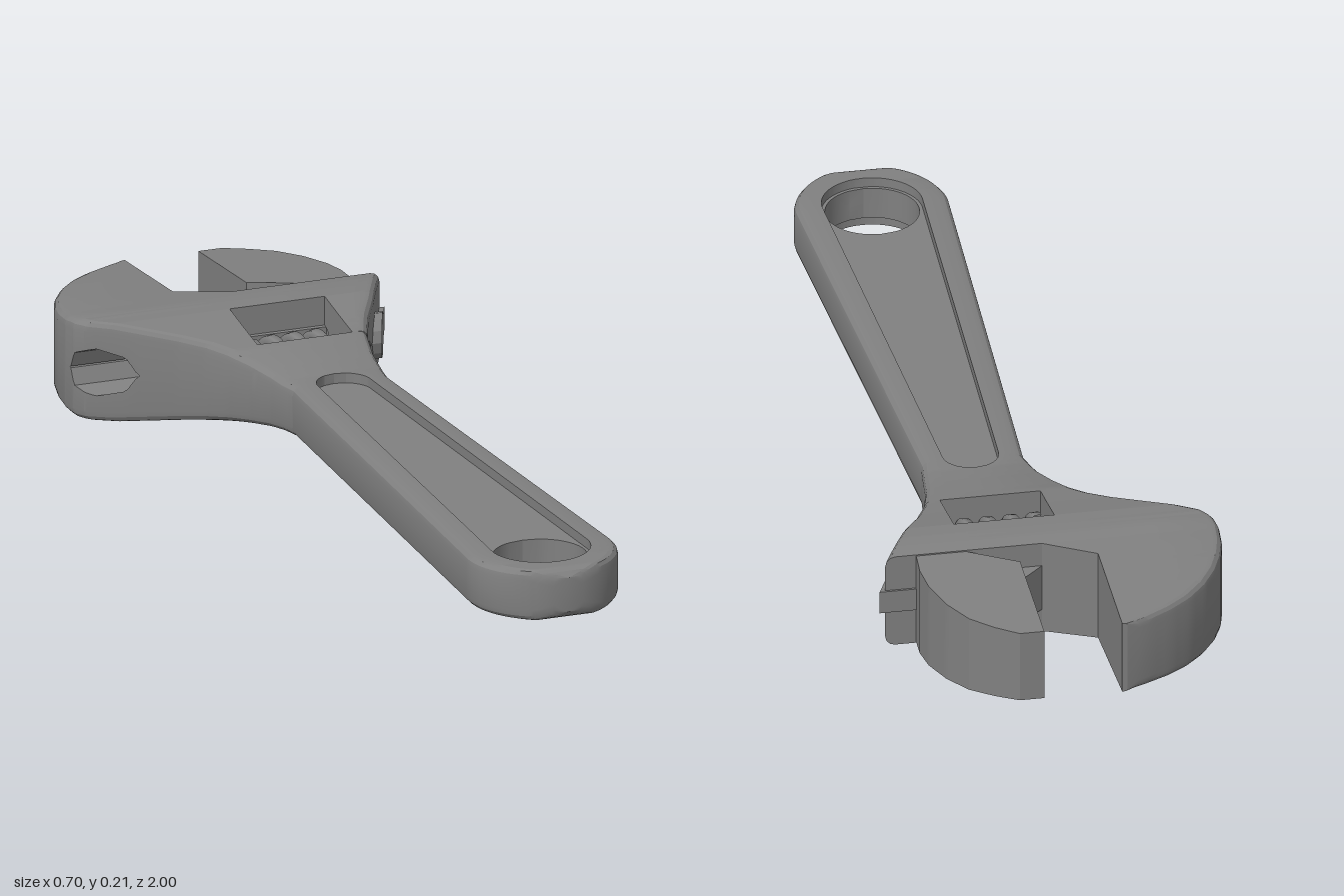
import * as THREE from 'three';
import { toCreasedNormals } from 'three/addons/utils/BufferGeometryUtils.js';

const CY = 0.1055;            // mid-plane height
const CX = 0.072;             // handle axis
const EYE = 0.843;            // centre of the hanging hole
const END_R = 0.157, HOLE_R = 0.095, PANEL_R = 0.102;
const BORE_Z = -0.597, BORE_R = 0.05, WORM_Z = -0.503;
const mat = new THREE.MeshStandardMaterial({ color: 0x808080 });

// Piecewise-linear profile over z
const table = (pts) => (z) => {
  let i = 1;
  while (i < pts.length - 1 && z > pts[i][0]) i++;
  const [z0, v0] = pts[i - 1], [z1, v1] = pts[i];
  return v0 + (v1 - v0) * THREE.MathUtils.clamp((z - z0) / (z1 - z0), 0, 1);
};
const circle = (r, d) => Math.sqrt(Math.max(0, r * r - d * d));

const halfThick = table([[-1, 0.078], [-0.69, 0.1], [-0.65, 0.1045], [-0.62, 0.1055], [-0.58, 0.104],
  [-0.5, 0.089], [-0.4, 0.072], [-0.32, 0.06], [-0.27, 0.0545], [-0.2, 0.0535], [0.978, 0.0535],
  [0.99, 0.047], [1, 0.036]]);
const headLeft = table([[-1, -0.1], [-0.985, -0.14], [-0.95, -0.2], [-0.915, -0.245], [-0.87, -0.284],
  [-0.82, -0.314], [-0.77, -0.334], [-0.72, -0.346], [-0.67, -0.35], [-0.635, -0.345], [-0.61, -0.33],
  [-0.55, -0.245], [-0.5, -0.175], [-0.46, -0.13], [-0.42, -0.1], [-0.37, -0.075], [-0.31, -0.053],
  [-0.23, -0.035], [EYE, CX - END_R]]);
const headRight = table([[-0.685, 0.335], [-0.62, 0.302], [-0.56, 0.272], [-0.5, 0.238], [-0.43, 0.208],
  [-0.35, 0.19], [-0.23, 0.175], [EYE, CX + END_R]]);
const left = (z) => (z > EYE ? CX - circle(END_R, z - EYE) : headLeft(z));
const right = (z) => (z > EYE ? CX + circle(END_R, z - EYE) : headRight(z));

// Eight-sided bore: half height against distance from its axis
const octagon = table([[0, 1], [0.707, 0.707], [1, 0]]);
const bore = (z) => BORE_R * octagon(Math.abs(z - BORE_Z) / BORE_R);

// Half width of the sunken panel on the handle
const panelTop = -0.213, panelR = 0.057;
function panel(z) {
  if (z < panelTop) return circle(panelR, z - panelTop);
  if (z > EYE) return circle(PANEL_R, z - EYE);
  return panelR + (PANEL_R - panelR) * (z - panelTop) / (EYE - panelTop);
}

// Upper half of a cross-section: edge, rounded corner, panel, rounded corner, edge
function section(z, { xL, xR, h, g = 0, bL = 0, bR = 0 }) {
  const w = xR - xL, p = panel(z), sunk = z > -0.2701 && z < EYE + PANEL_R;
  const a = sunk ? Math.max(xL, CX - p) : (xL + xR) / 2;
  const b = sunk ? Math.min(xR, CX + p) : a;
  const floor = sunk ? 0.0335 : h;
  const hl = sunk && a <= xL ? floor : h, hr = sunk && b >= xR ? floor : h;
  const lx = Math.min(bL, w / 2), rx = Math.min(bR, w / 2);
  const arc = [0, 1, 2, 3].map((i) => [1 - Math.cos(i * Math.PI / 6), 1 - Math.sin(i * Math.PI / 6)]);
  const pts = [[xL, g]];
  for (const [c, s] of arc) pts.push([xL + lx * c, hl - lx * s]);
  pts.push([a, hl], [a, floor], [b, floor], [b, hr]);
  for (const [c, s] of arc.reverse()) pts.push([xR - rx * c, hr - rx * s]);
  pts.push([xR, g]);
  return { z, g, pts };
}

// Loft sections from z0 to z1, closed at both ends and mirrored about the mid-plane
function loft(out, z0, z1, steps, spec) {
  const quad = (...q) => {
    for (const s of [1, -1]) {
      const c = q.map(([x, y, z]) => [x, CY + s * y, z]);
      if (s < 0) c.reverse();
      out.push(...c[0], ...c[1], ...c[2], ...c[0], ...c[2], ...c[3]);
    }
  };
  const rows = [];
  for (let i = 0; i <= steps; i++) {
    const z = z0 + (z1 - z0) * i / steps;
    rows.push(section(z, { h: halfThick(z), ...spec(z) }));
  }
  const P = (r, i) => [r.pts[i][0], r.pts[i][1], r.z];
  const G = (r, i) => [r.pts[i][0], r.g, r.z];
  const n = rows[0].pts.length - 1, first = rows[0], last = rows[steps];
  for (let i = 0; i < n; i++) {
    for (let k = 0; k < steps; k++) {
      const r = rows[k], q = rows[k + 1];
      quad(P(r, i), P(q, i), P(q, i + 1), P(r, i + 1));
      quad(G(r, i), G(r, i + 1), G(q, i + 1), G(q, i));
    }
    quad(G(last, i), G(last, i + 1), P(last, i + 1), P(last, i));
    quad(P(first, i), P(first, i + 1), G(first, i + 1), G(first, i));
  }
}

function loftMesh(name, build) {
  const out = [];
  build(out);
  const geo = new THREE.BufferGeometry();
  geo.setAttribute('position', new THREE.Float32BufferAttribute(out, 3));
  return named(name, toCreasedNormals(geo, 0.3));
}

function named(name, geo) {
  const mesh = new THREE.Mesh(geo, mat);
  mesh.name = name;
  return mesh;
}

// Move the vertices of a geometry by a rule
function bend(geo, rule) {
  const p = geo.attributes.position, v = new THREE.Vector3();
  for (let i = 0; i < p.count; i++) {
    rule(v.fromBufferAttribute(p, i));
    p.setXYZ(i, v.x, v.y, v.z);
  }
  return toCreasedNormals(geo, 0.3);
}

export function createModel() {
  const group = new THREE.Group();
  group.name = 'adjustableWrench';
  const B = 0.02, slotEnd = BORE_Z - 0.793 * BORE_R;

  group.add(loftMesh('bodyAndFixedJaw', (o) => {
    const full = (z) => ({ xL: left(z), xR: right(z), bL: B, bR: B });
    // fixed jaw, then its sloping throat
    loft(o, -1, -0.74, 26, (z) => ({ xL: left(z), xR: -0.089, bL: B }));
    loft(o, -0.74, -0.685, 5, (z) => ({ xL: left(z), xR: -0.089 + 0.104 * (z + 0.74) / 0.055, bL: B }));
    // slide slot and bore
    loft(o, -0.685, slotEnd, 10, (z) => ({ xL: left(z), xR: -0.08, bL: B, g: bore(z) }));
    loft(o, -0.685, slotEnd, 10, (z) => ({ xL: -0.08, xR: right(z), bR: B, g: 0.025 }));
    loft(o, slotEnd, -0.58, 14, (z) => ({ ...full(z), g: bore(z) }));
    // cheeks either side of the worm window, the right one with the pin hole
    loft(o, -0.58, -0.43, 30, (z) => ({ xL: left(z), xR: -0.03, bL: B, g: bore(z) }));
    loft(o, -0.58, -0.43, 30, (z) => ({ xL: 0.175, xR: right(z), bR: B,
      g: Math.max(bore(z), circle(0.025, z + 0.5)) }));
    // neck and handle
    loft(o, -0.43, -0.27, 16, full);
    loft(o, -0.27, -0.2, 14, full);
    loft(o, -0.2, EYE - HOLE_R, 8, full);
    // ring around the hanging hole
    const hole = (z) => circle(HOLE_R, z - EYE);
    loft(o, EYE - HOLE_R, EYE + HOLE_R, 40, (z) => ({ xL: left(z), xR: CX - hole(z), bL: B }));
    loft(o, EYE - HOLE_R, EYE + HOLE_R, 40, (z) => ({ xL: CX + hole(z), xR: right(z), bR: B }));
    loft(o, EYE + HOLE_R, EYE + PANEL_R, 6, full);
    loft(o, EYE + PANEL_R, 1, 16, full);
  }));

  // Movable jaw: its face slopes back at the throat, with a thinner ledge below
  const jawRight = table([[-1, 0.12], [-0.97, 0.165], [-0.93, 0.21], [-0.87, 0.245], [-0.8, 0.268],
    [-0.74, 0.275], [-0.685, 0.272]]);
  group.add(loftMesh('movableJaw', (o) => {
    const throat = (end) => table([[-0.74, 0.07], [-0.686, end]]);
    const upper = throat(0.17), lower = throat(0.015);
    const h = (z) => halfThick(z) * 0.98;
    loft(o, -1, -0.74, 26, (z) => ({ xL: 0.07, xR: jawRight(z), h: h(z) }));
    loft(o, -0.74, -0.686, 4, (z) => ({ xL: upper(z), xR: jawRight(z), h: h(z) }));
    loft(o, -0.74, -0.686, 4, (z) => ({ xL: lower(z), xR: upper(z), h: 0.05 }));
  }));

  // Slide: web and round rail, both ending on a slant, with rack teeth
  const slantX = (z) => 0.348 - (z + 0.69) * 0.44;
  group.add(named('slideWeb', bend(new THREE.BoxGeometry(1, 0.048, 0.07).translate(0, CY, -0.653),
    (v) => { v.x = v.x > 0 ? slantX(v.z) : 0.03; })));
  const rail = new THREE.CylinderGeometry(0.047, 0.047, 3, 12, 3).rotateZ(Math.PI / 2).translate(0, CY, BORE_Z);
  group.add(named('slideRail', bend(rail, (v) => {
    const row = Math.round(v.x + 1.5);
    v.x = [-0.05, 0.177, 0.179, slantX(v.z)][row];
    if (row < 2) v.z = Math.min(v.z, -0.575);
  })));
  for (let i = 0; i < 4; i++) {
    group.add(named('rackTooth', new THREE.BoxGeometry(0.026, 0.06, 0.03)
      .translate(-0.008 + i * 0.05, CY, -0.568)));
  }

  // Worm screw: core and helical thread
  const core = new THREE.CylinderGeometry(0.045, 0.045, 0.203, 20).rotateZ(Math.PI / 2);
  group.add(named('wormCore', core.translate(0.0725, CY, WORM_Z)));
  const helix = [];
  for (let i = 0; i <= 60; i++) {
    const a = i / 60 * Math.PI * 7;
    helix.push(new THREE.Vector3(-0.012 + 0.168 * i / 60, CY + 0.048 * Math.cos(a), WORM_Z + 0.048 * Math.sin(a)));
  }
  group.add(named('wormThread',
    new THREE.TubeGeometry(new THREE.CatmullRomCurve3(helix), 120, 0.016, 6)));
  return group;
}
